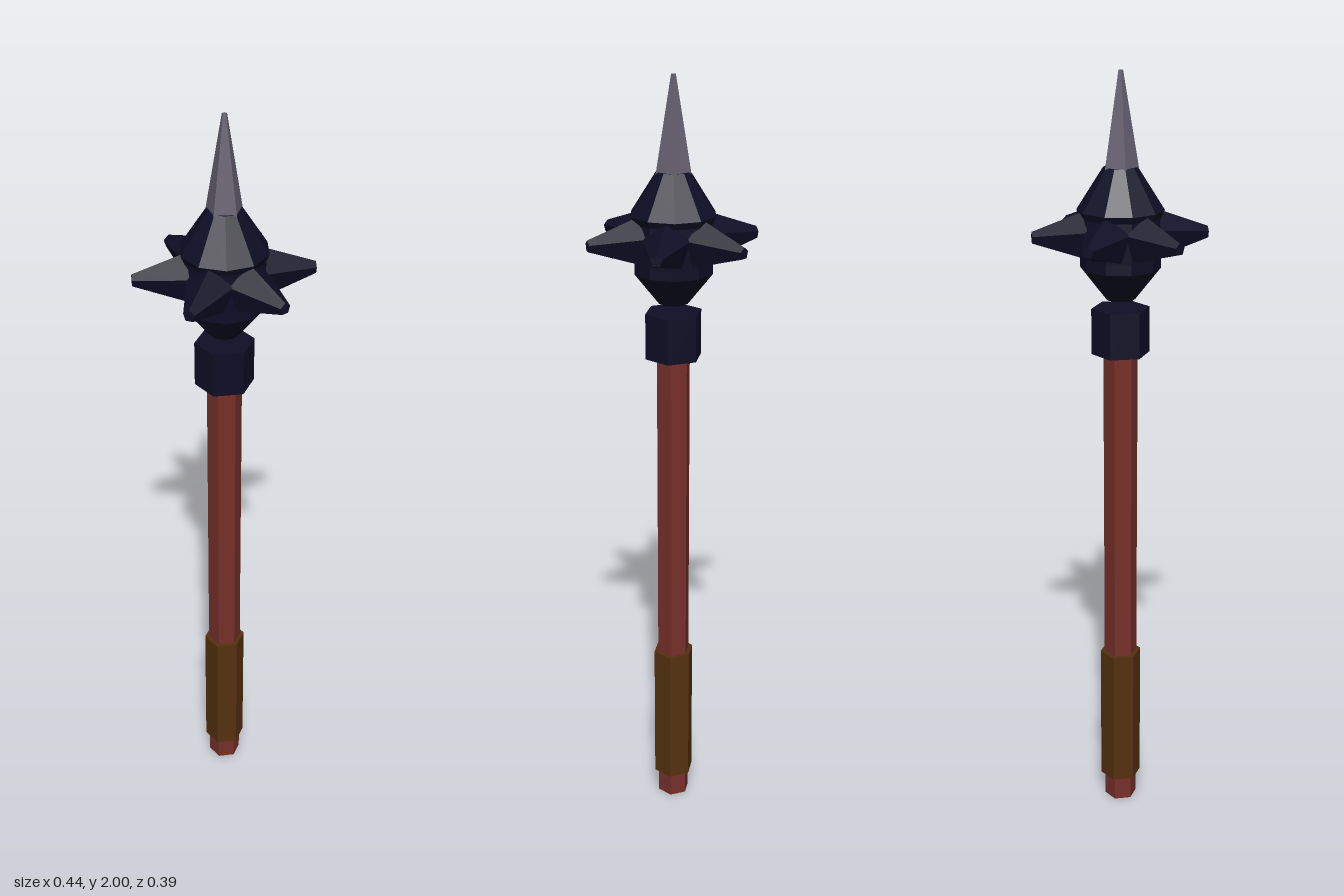
import * as THREE from 'three';

function flat(name, color) {
  const m = new THREE.MeshStandardMaterial({ color, flatShading: true });
  m.name = name;
  return m;
}

export function createModel() {
  const group = new THREE.Group();
  const wood = flat('red wood', 0x77302a);
  const leather = flat('brown leather', 0x55310f);
  const iron = flat('dark iron', 0x0e0e26);
  const steel = flat('grey steel', 0x676272);

  function add(name, geometry, material) {
    const mesh = new THREE.Mesh(geometry, material);
    mesh.name = name;
    group.add(mesh);
    return mesh;
  }

  // Upright prism or cone between two heights, with a corner on +x
  function prism(name, rTop, rBottom, y0, y1, sides, material) {
    const g = new THREE.CylinderGeometry(rTop, rBottom, y1 - y0, sides, 1, false, Math.PI / 2);
    g.translate(0, (y0 + y1) / 2, 0);
    return add(name, g, material);
  }

  // Handle
  prism('shaft', 0.044, 0.044, 0, 1.32, 6, wood);
  prism('grip', 0.055, 0.055, 0.07, 0.46, 6, leather);
  prism('collar', 0.074, 0.074, 1.31, 1.427, 6, iron);

  // Faceted head, floating just above the collar
  const profile = [
    [0, 1.45], [0.037, 1.45], [0.1, 1.53], [0.1, 1.555],
    [0.102, 1.61], [0.1, 1.655], [0.108, 1.672], [0.042, 1.775], [0, 1.775],
  ].map(([r, y]) => new THREE.Vector2(r, y));
  add('head', new THREE.LatheGeometry(profile, 10, Math.PI / 2), iron);

  // Top spike
  prism('topSpike', 0.006, 0.045, 1.77, 2, 5, steel);

  // Ring of six blunt spikes
  const inner = 0.09, outer = 0.218;
  for (let i = 0; i < 6; i++) {
    const g = new THREE.CylinderGeometry(0.015, 0.061, outer - inner, 5, 1, false, -Math.PI / 2);
    g.rotateZ(-Math.PI / 2);
    g.translate((inner + outer) / 2, 0, 0);
    g.rotateY(i * Math.PI / 3);
    g.translate(0, 1.61, 0);
    add('sideSpike' + (i + 1), g, iron);
  }

  return group;
}
